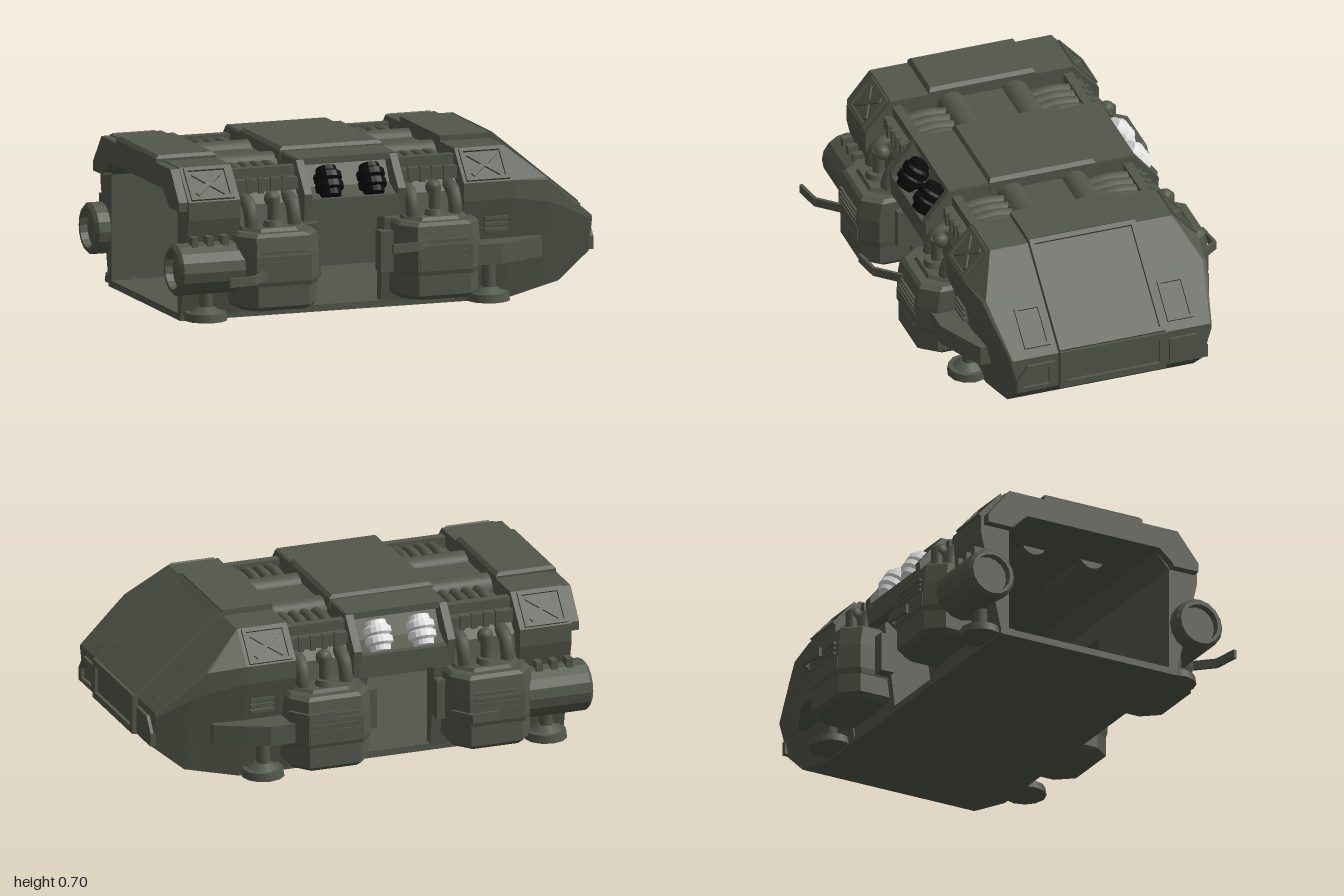
import * as THREE from 'three';

const olive = new THREE.MeshStandardMaterial({ color: 0x53574a });
olive.name = 'olive hull';
const black = new THREE.MeshStandardMaterial({ color: 0x0b0b0c });
black.name = 'black lamp';
const white = new THREE.MeshStandardMaterial({ color: 0xe9e9e9 });
white.name = 'white lamp';

function add(parent, name, geo, mat = olive) {
  const mesh = new THREE.Mesh(geo, mat);
  mesh.name = name;
  parent.add(mesh);
  return mesh;
}

function box(parent, name, x0, x1, y0, y1, z0, z1) {
  const mesh = add(parent, name, new THREE.BoxGeometry(x1 - x0, y1 - y0, z1 - z0));
  mesh.position.set((x0 + x1) / 2, (y0 + y1) / 2, (z0 + z1) / 2);
  return mesh;
}

const flat = (geo) => {
  const g = geo.index ? geo.toNonIndexed() : geo;
  g.computeVertexNormals();
  return g;
};

// closed solid through equal-length rings of points, turned outward by its signed volume
function loft(rings) {
  const n = rings[0].length, tris = [];
  for (let r = 0; r < rings.length - 1; r++)
    for (let i = 0; i < n; i++) {
      const j = (i + 1) % n, [a, b, c, d] = [rings[r][i], rings[r][j], rings[r + 1][j], rings[r + 1][i]];
      tris.push([a, b, c], [a, c, d]);
    }
  const first = rings[0], last = rings[rings.length - 1];
  for (let i = 1; i < n - 1; i++) tris.push([first[0], first[i + 1], first[i]], [last[0], last[i], last[i + 1]]);
  let volume = 0;
  for (const [a, b, c] of tris)
    volume += new THREE.Vector3(...a).dot(new THREE.Vector3(...b).cross(new THREE.Vector3(...c)));
  const pos = tris.flatMap((t) => (volume < 0 ? [t[0], t[2], t[1]] : t)).flat();
  const geo = new THREE.BufferGeometry();
  geo.setAttribute('position', new THREE.Float32BufferAttribute(pos, 3));
  return flat(geo);
}

// half outlines are [half width, height] from the sill to the roof
const mirrored = (half) => [...half, ...half.slice().reverse().map(([w, y]) => [-w, y])];
const ringAt = (x, half) => mirrored(half).map(([w, y]) => [x, y, w]);

// arch along x, open underneath, with one shared inner wall
function arch(parent, name, half, x0, x1) {
  const sill = half[0][1];
  const inner = [[0.4, sill], [0.4, Math.max(0.5, sill + 0.01)], [0.33, 0.57]];
  const pts = [...mirrored(half), ...mirrored(inner).reverse()];
  const shape = new THREE.Shape(pts.map(([w, y]) => new THREE.Vector2(w, y)));
  const geo = new THREE.ExtrudeGeometry(shape, { depth: x1 - x0, bevelEnabled: false });
  geo.rotateY(Math.PI / 2).translate(x0, 0, 0);
  return add(parent, name, geo);
}

// plan outline [x, z] raised between two heights
const slab = (plan, y0, y1) => loft([y0, y1].map((y) => plan.map(([x, z]) => [x, y, z])));

// raised border facing +z, turned by yaw and pitch
function frame(parent, name, w, h, bar, depth, pos, yaw, pitch, cross) {
  const g = new THREE.Group();
  g.name = name;
  for (const s of [-1, 1]) {
    box(g, 'frameRail', -w / 2, w / 2, s * (h - bar) / 2 - bar / 2, s * (h - bar) / 2 + bar / 2, -depth, depth);
    box(g, 'framePost', s * (w - bar) / 2 - bar / 2, s * (w - bar) / 2 + bar / 2, -h / 2, h / 2, -depth, depth);
    if (cross) box(g, 'crossBrace', -w * 0.42, w * 0.42, -0.01, 0.01, -depth, depth * 0.8).rotation.z = s * 0.68;
  }
  g.rotation.set(-pitch, yaw, 0, 'YXZ');
  g.position.set(...pos);
  parent.add(g);
}

const tube = (pts, r) =>
  new THREE.TubeGeometry(new THREE.CatmullRomCurve3(pts.map((p) => new THREE.Vector3(...p))), 14, r, 10);

const fullRib = [[0.44, 0.02], [0.54, 0.46], [0.54, 0.54], [0.42, 0.675]];
const recess = [[0.44, 0.02], [0.49, 0.4], [0.47, 0.5], [0.38, 0.6]];

function hull(parent) {
  box(parent, 'floor', -0.93, 0.58, 0, 0.03, -0.44, 0.44);
  arch(parent, 'rearRib', fullRib, -0.93, -0.69);
  arch(parent, 'rearLip', [[0.525, 0.5], [0.525, 0.54], [0.42, 0.67]], -0.97, -0.93);
  arch(parent, 'rearBay', recess, -0.69, -0.31);
  arch(parent, 'frontBay', recess, 0, 0.36);
  // middle rib with end cheeks around the lamp recess
  arch(parent, 'lampBay', [[0.5, 0.42], [0.52, 0.505], [0.43, 0.55], [0.36, 0.67]], -0.36, 0.05);
  const cheek = [[0.53, 0.42], [0.54, 0.54], [0.43, 0.675]];
  arch(parent, 'middleCheek', cheek, -0.39, -0.355);
  arch(parent, 'middleCheek', cheek, 0.045, 0.08);
  box(parent, 'middleRoof', -0.385, 0.075, 0.65, 0.68, -0.43, 0.43);
  // raised roof spine
  for (const [x0, x1] of [[-0.97, -0.69], [-0.395, 0.085]])
    add(parent, 'roofPanel', loft([[x0, 0.64, 0.245], [x0, 0.685, 0.245], [x0 + 0.015, 0.7, 0.235]]
      .map(([x, y, w]) => [[x, y, -w], [x0 + x1 - x, y, -w], [x0 + x1 - x, y, w], [x, y, w]])));
  // pipes and deck in the roof gaps
  for (const [x0, x1] of [[-0.7, -0.38], [0.07, 0.36]]) {
    box(parent, 'gapDeck', x0, x1, 0.58, 0.635, -0.1, 0.1);
    for (const z of [-0.145, 0.145]) {
      const pipe = add(parent, 'roofPipe', new THREE.CylinderGeometry(0.064, 0.064, x1 - x0, 16));
      pipe.rotation.z = Math.PI / 2;
      pipe.position.set((x0 + x1) / 2, 0.602, z);
    }
  }
}

function nose(parent) {
  add(parent, 'noseShell', loft([
    ringAt(0.35, [[0.44, 0], [0.54, 0.46], [0.54, 0.54], [0.42, 0.675]]),
    ringAt(0.58, [[0.44, 0], [0.54, 0.46], [0.54, 0.54], [0.42, 0.675]]),
    ringAt(0.75, [[0.434, 0.041], [0.515, 0.43], [0.515, 0.525], [0.5, 0.535]]),
    ringAt(0.83, [[0.43, 0.06], [0.497, 0.4], [0.497, 0.46], [0.485, 0.468]]),
    ringAt(0.975, [[0.42, 0.18], [0.462, 0.325], [0.462, 0.34], [0.455, 0.347]]),
  ]));
  // raised centre strip running down the slope
  const strip = [[0.35, 0.62], [0.35, 0.69], [0.58, 0.69], [0.985, 0.355], [0.985, 0.18], [0.9, 0.18]];
  add(parent, 'noseSpine', loft([-0.245, 0.245].map((z) => strip.map(([x, y]) => [x, y, z]))));
  box(parent, 'noseRoofPanel', 0.35, 0.585, 0.66, 0.7, -0.245, 0.245);
  const yaw = Math.PI / 2, tilt = 0.88;
  frame(parent, 'windshieldFrame', 0.49, 0.52, 0.022, 0.014, [0.784, 0.525, 0], yaw, tilt);
  frame(parent, 'bumperFrame', 0.49, 0.18, 0.03, 0.014, [0.986, 0.27, 0], yaw, 0);
  for (const s of [-1, 1]) {
    frame(parent, 'slopeHatch', 0.12, 0.19, 0.014, 0.01, [0.87, 0.437, s * 0.33], yaw, tilt);
    // headlight surround with a slanted outer edge
    const lamp = [[0.265, 0.19], [0.265, 0.315], [0.39, 0.315], [0.44, 0.25], [0.44, 0.19]];
    const toShape = (k) => lamp.map(([z, y]) => new THREE.Vector2(-s * (0.35 + (z - 0.35) * k), 0.25 + (y - 0.25) * k));
    const shape = new THREE.Shape(toShape(1));
    shape.holes.push(new THREE.Path(toShape(0.68)));
    const geo = new THREE.ExtrudeGeometry(shape, { depth: 0.025, bevelEnabled: false });
    add(parent, 'headlightSurround', geo.rotateY(yaw).translate(0.965, 0, 0));
  }
}

// bay with pod, tubes and piston centred on cx, for the +z side
function podBay(parent, cx) {
  const ring = (y, w, z) => [[-w, 0.42], [-w, z - 0.075], [-w + 0.06, z], [w - 0.06, z], [w, z - 0.075], [w, 0.42]]
    .map(([x, d]) => [cx + x, y, d]);
  add(parent, 'podBase', loft([ring(0.06, 0.165, 0.645), ring(0.08, 0.18, 0.668), ring(0.17, 0.18, 0.668)]));
  add(parent, 'podBody', loft([ring(0.165, 0.185, 0.665), ring(0.19, 0.188, 0.673), ring(0.3, 0.188, 0.673),
    ring(0.385, 0.185, 0.66), ring(0.4, 0.17, 0.645)]));
  add(parent, 'podCollar', loft([ring(0.39, 0.15, 0.615), ring(0.415, 0.14, 0.6)]));
  box(parent, 'podPlate', cx - 0.12, cx + 0.12, 0.19, 0.25, 0.64, 0.677);
  for (let i = 0; i < 3; i++) box(parent, 'podLouver', cx - 0.1, cx + 0.1, 0.268 + i * 0.024, 0.279 + i * 0.024, 0.64, 0.68);
  // outer bent ducts and the central piston
  for (const dx of [-0.1, 0.1])
    add(parent, 'bentDuct', tube([[cx + dx, 0.38, 0.53], [cx + dx, 0.45, 0.525], [cx + dx, 0.505, 0.495], [cx + dx, 0.525, 0.42]], 0.031));
  add(parent, 'piston', new THREE.CylinderGeometry(0.026, 0.026, 0.14, 12)).position.set(cx, 0.47, 0.535);
  add(parent, 'pistonCollar', new THREE.CylinderGeometry(0.042, 0.055, 0.04, 12)).position.set(cx, 0.42, 0.545);
  add(parent, 'pistonHead', new THREE.SphereGeometry(0.036, 12, 8)).position.set(cx, 0.53, 0.52);
  // cross rail with clips and header, and curved hoses from the roof pipe
  box(parent, 'crossRail', cx - 0.155, cx + 0.155, 0.55, 0.605, 0.385, 0.455);
  box(parent, 'railHeader', cx - 0.155, cx + 0.155, 0.6, 0.65, 0.375, 0.415);
  for (let i = 0; i < 4; i++) {
    const x = cx - 0.0825 + i * 0.055;
    add(parent, 'roofHose', tube([[x, 0.61, 0.39], [x, 0.62, 0.34], [x, 0.625, 0.28], [x, 0.61, 0.17]], 0.025));
    box(parent, 'railClip', x - 0.012, x + 0.012, 0.545, 0.612, 0.44, 0.465);
  }
}

function side(lampMaterial) {
  const g = new THREE.Group();
  podBay(g, -0.535);
  podBay(g, 0.215);
  // crossed panels on the sloping shoulders
  for (const x of [-0.815, 0.465]) frame(g, 'crossedPanel', 0.2, 0.165, 0.016, 0.012, [x, 0.607, 0.48], 0, 0.727, true);
  // lamps in the middle recess
  box(g, 'lampSill', -0.37, 0.06, 0.42, 0.515, 0.44, 0.535);
  const barrel = [[0, -0.068], [0.044, -0.068], [0.048, -0.045], [0.062, -0.035], [0.062, -0.008], [0.05, 0],
    [0.062, 0.01], [0.062, 0.036], [0.048, 0.046], [0.044, 0.068], [0, 0.068]].map((p) => new THREE.Vector2(...p));
  for (const x of [-0.255, -0.055]) {
    const lamp = add(g, 'lamp', flat(new THREE.LatheGeometry(barrel, 16)), lampMaterial);
    lamp.position.set(x, 0.575, 0.475);
    lamp.rotation.x = -0.57;
  }
  // rear thruster with recessed nozzle
  const nozzle = [[0, 0.035], [0.085, 0.035], [0.085, 0], [0.1, 0], [0.115, 0.015], [0.115, 0.3], [0, 0.3]];
  const thruster = add(g, 'thruster', flat(new THREE.LatheGeometry(nozzle.map((p) => new THREE.Vector2(...p)), 16)));
  thruster.rotation.z = -Math.PI / 2;
  thruster.position.set(-1, 0.245, 0.52);
  for (const x of [-0.91, -0.84, -0.77]) box(g, 'thrusterClamp', x - 0.015, x + 0.015, 0.34, 0.39, 0.49, 0.57);
  // landing pads
  for (const x of [-0.83, 0.485]) {
    add(g, 'landingPad', new THREE.CylinderGeometry(0.09, 0.095, 0.035, 12)).position.set(x, 0.026, 0.485);
    add(g, 'landingAnkle', new THREE.CylinderGeometry(0.035, 0.07, 0.025, 12)).position.set(x, 0.056, 0.485);
    add(g, 'landingStrut', new THREE.CylinderGeometry(0.03, 0.03, 0.14, 10)).position.set(x, 0.12, 0.485);
  }
  // side fin and vents on the nose
  add(g, 'sideFin', slab([[0.36, 0.42], [0.36, 0.62], [0.5, 0.62], [0.6, 0.575], [0.725, 0.515], [0.725, 0.42]], 0.19, 0.28));
  for (let i = 0; i < 3; i++) box(g, 'noseVent', 0.45, 0.56, 0.318 + i * 0.026, 0.332 + i * 0.026, 0.47, 0.535);
  // door jambs
  box(g, 'doorJamb', -0.36, -0.31, 0.17, 0.35, 0.46, 0.525);
  box(g, 'doorJamb', -0.03, 0.03, 0.17, 0.35, 0.46, 0.525);
  return g;
}

// bent blade through plan points
function blade(parent, pts, y) {
  for (let i = 0; i < 2; i++) {
    const [ax, az] = pts[i], [bx, bz] = pts[i + 1];
    const m = add(parent, 'sideBlade', new THREE.BoxGeometry(Math.hypot(bx - ax, bz - az) + 0.008, 0.04, 0.014));
    m.position.set((ax + bx) / 2, y, (az + bz) / 2);
    m.rotation.y = -Math.atan2(bz - az, bx - ax);
  }
}

export function createModel() {
  const model = new THREE.Group();
  model.name = 'dropshipModule';
  const body = new THREE.Group();
  body.name = 'body';
  body.position.z = -0.045;
  model.add(body);
  hull(body);
  nose(body);
  const left = side(black), right = side(white);
  left.name = 'frontSide';
  right.name = 'backSide';
  right.scale.z = -1;
  body.add(left, right);
  for (const [dx, y] of [[0, 0.222], [0.76, 0.322]]) {
    blade(body, [[-0.62 + dx, 0.67], [-0.71 + dx, 0.765], [-0.83 + dx, 0.785]], y);
    blade(body, [[-0.35 + dx, -0.62], [-0.41 + dx, -0.7], [-0.53 + dx, -0.685]], y);
  }
  return model;
}
